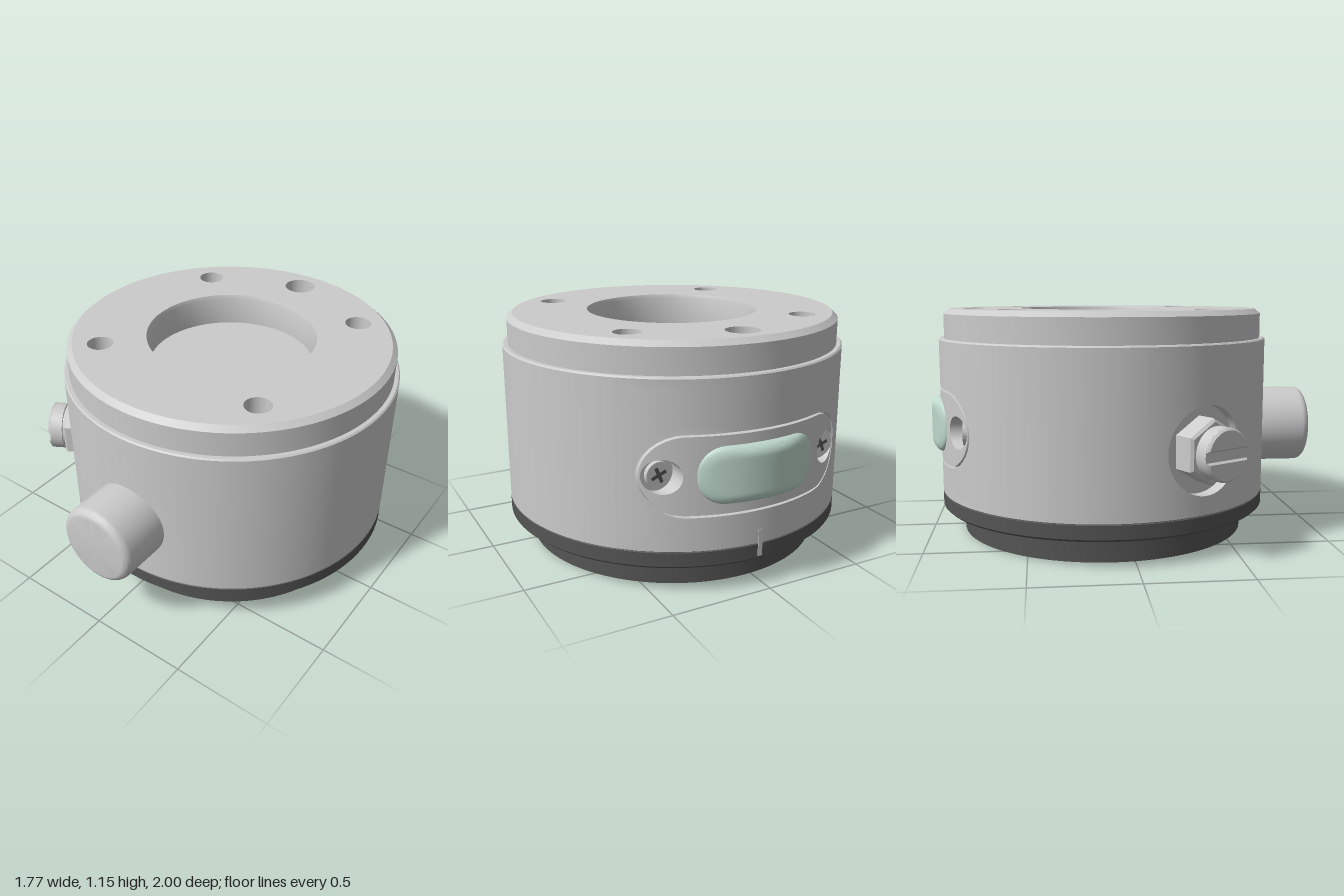
import * as THREE from 'three';
import { toCreasedNormals } from 'three/addons/utils/BufferGeometryUtils.js';

const R = 0.855, Y0 = 0.215, Y1 = 1.0, TOP = 1.155;
const grey = new THREE.MeshStandardMaterial({ color: 0xcccccc });
const dark = new THREE.MeshStandardMaterial({ color: 0x555555 });
const green = new THREE.MeshStandardMaterial({ color: 0xbfd9cc });

function add(parent, name, geo, mat = grey) {
  const mesh = new THREE.Mesh(toCreasedNormals(geo, 0.5), mat);
  mesh.name = name;
  parent.add(mesh);
}

const lathe = (pts, n = 96) => new THREE.LatheGeometry(pts.map(p => new THREE.Vector2(...p)), n);

// Cylinder lying along z from z0 to z1
function rod(r, z0, z1, sides = 48, rTip = r) {
  return new THREE.CylinderGeometry(rTip, r, z1 - z0, sides).rotateX(Math.PI / 2).translate(0, 0, (z0 + z1) / 2);
}

// Outlines as inside tests, and depths as functions of x
const rect = (x0, x1, y0, y1) => (x, y) => x >= x0 && x <= x1 && y >= y0 && y <= y1;
const rounded = (w, h, r, cx, cy) => (x, y) => {
  const dx = Math.max(Math.abs(x - cx) - w + r, 0), dy = Math.max(Math.abs(y - cy) - h + r, 0);
  return dx * dx + dy * dy <= r * r;
};
const disc = (r, cx, cy) => rounded(r, r, r, cx, cy);
const curved = (lift, droop = 0) => x => Math.sqrt(R * R - x * x) + lift - droop * x * x;
const flat = z => () => z;

function reach(inside, cx, cy, a) {
  if (!inside) return 0;
  let lo = 0, hi = 1.5;
  for (let i = 0; i < 32; i++) {
    const m = (lo + hi) / 2;
    if (inside(cx + m * Math.cos(a), cy + m * Math.sin(a))) lo = m; else hi = m;
  }
  return lo;
}

// Surface through nested loops [outline, depth, steps], from outside inwards, facing +z
function patch(cx, cy, loops, corners = []) {
  const angles = Array.from({ length: 96 }, (_, i) => -Math.PI + i * Math.PI / 48);
  for (const [x, y] of corners) angles.push(Math.atan2(y - cy, x - cx));
  angles.sort((a, b) => a - b);
  const rows = [];
  loops.forEach(([shape, depth, steps = 1], k) => {
    const from = k ? loops[k - 1] : loops[0];
    const radii = angles.map(a => [reach(from[0], cx, cy, a), reach(shape, cx, cy, a)]);
    for (let s = 1; s <= steps; s++) {
      const t = s / steps;
      rows.push(angles.map((a, i) => {
        const r = radii[i][0] * (1 - t) + radii[i][1] * t;
        const x = cx + r * Math.cos(a), y = cy + r * Math.sin(a);
        return [x, y, from[1](x) * (1 - t) + depth(x) * t];
      }));
    }
  });
  const pos = [];
  for (let j = 0; j + 1 < rows.length; j++) {
    for (let i = 0; i < angles.length; i++) {
      const n = (i + 1) % angles.length, o = rows[j], q = rows[j + 1];
      pos.push(...o[i], ...o[n], ...q[i], ...o[n], ...q[n], ...q[i]);
    }
  }
  const g = new THREE.BufferGeometry();
  g.setAttribute('position', new THREE.Float32BufferAttribute(pos, 3));
  return g;
}

const boxCorners = (x0, x1, y0, y1) => [[x0, y0], [x1, y0], [x1, y1], [x0, y1]];

export function createModel() {
  const model = new THREE.Group();
  const unit = new THREE.Group();
  unit.name = 'housingUnit';
  unit.position.set(0.029, 0, -0.095);
  model.add(unit);

  // Dark base plate, and band with a fine joint under the wall
  add(unit, 'basePlate', lathe([[0, 0], [0.743, 0], [0.743, 0.13]]), dark);
  add(unit, 'baseBand', lathe([
    [0.74, 0.13], [0.842, 0.13], [R, 0.142], [R, 0.208], [0.849, 0.211], [0.849, Y0], [R, Y0],
  ]), dark);

  // Plain wall between the two recessed sectors
  const backHalf = Math.asin(0.6 / R), sideHalf = Math.asin(0.3 / R), sideAngle = Math.PI * 5 / 3;
  const arcs = [[Math.PI + backHalf, sideAngle - sideHalf], [sideAngle + sideHalf, Math.PI * 3 - backHalf]];
  for (const [a, b] of arcs) {
    const g = new THREE.CylinderGeometry(R, R, Y1 - Y0, 72, 1, true, a, b - a);
    add(unit, 'bodyWall', g.translate(0, (Y0 + Y1) / 2, 0));
  }

  // Top ring with chamfer
  add(unit, 'topRing', lathe([[R, Y1], [0.848, 1.007], [0.828, 1.007], [0.828, 1.13], [0.8, TOP]]));

  // Top face with bolt holes and central bore
  const face = new THREE.Shape().absarc(0, 0, 0.8, 0, Math.PI * 2);
  const holes = [[0, 0, 0.43, 0.165], [0, -0.665, 0.08, 0.15]];
  for (const x of [-0.467, 0.467]) for (const z of [-0.467, 0.467]) holes.push([x, z, 0.065, 0.15]);
  for (const [x, z, r, depth] of holes) {
    face.holes.push(new THREE.Path().absarc(x, -z, r, 0, Math.PI * 2));
    const bore = r > 0.4, inner = bore ? r - 0.008 : r;
    const pocket = lathe([[r, TOP], [inner, TOP - 0.02], [inner, TOP - depth], [0, TOP - depth]], 96);
    add(unit, bore ? 'centralBore' : 'boltHole', pocket.translate(x, 0, z));
  }
  add(unit, 'topFace', new THREE.ShapeGeometry(face, 96).rotateX(-Math.PI / 2).translate(0, TOP, 0));

  // Front knob with rounded rim
  const rim = [];
  for (let i = 0; i <= 8; i++) {
    const a = i / 8 * Math.PI / 2;
    rim.push([0.16 + 0.04 * Math.cos(a), 1.055 + 0.04 * Math.sin(a)]);
  }
  add(unit, 'frontKnob', lathe([[0.2, 0.78], ...rim, [0, 1.095]], 64).rotateX(Math.PI / 2).translate(0, 0.52, 0));

  // Back sector: wall, groove around the panel, panel with two screws
  const back = new THREE.Group();
  back.name = 'backPanel';
  back.rotation.y = Math.PI;
  unit.add(back);
  const cy = 0.567, skin = curved(0), sunk = curved(-0.03);
  const outer = rounded(0.532, 0.192, 0.192, 0, cy), inner = rounded(0.521, 0.181, 0.181, 0, cy);
  add(back, 'backWall', patch(0, cy, [
    [rect(-0.6, 0.6, Y0, Y1), skin], [outer, skin, 6], [outer, sunk], [inner, sunk], [inner, skin],
  ], boxCorners(-0.6, 0.6, Y0, Y1)));
  const p0 = cy - 0.181, p1 = cy + 0.181;
  add(back, 'panelMiddle', patch(0, cy, [[rect(-0.3, 0.3, p0, p1), skin], [null, skin, 10]], boxCorners(-0.3, 0.3, p0, p1)));
  for (const s of [-1, 1]) {
    const x = s * 0.435, hole = disc(0.08, x, cy);
    const end = (px, py) => px * s >= 0.3 && inner(px, py);
    add(back, 'panelEnd', patch(x, cy, [
      [end, skin], [hole, skin, 6], [hole, flat(0.68)], [null, flat(0.68)],
    ], [[s * 0.3, p0], [s * 0.3, p1]]));
    add(back, 'panelScrew', rod(0.06, 0.68, 0.705).translate(x, cy, 0));
    for (const turn of [0.4, 0.4 + Math.PI / 2]) {
      const bar = new THREE.BoxGeometry(0.075, 0.016, 0.008).rotateZ(turn);
      add(back, 'screwCross', bar.translate(x, cy, 0.703), dark);
    }
  }

  // Soft window pad, flattening towards its ends
  const pad = inset => rounded(0.298 - inset, 0.133 - inset, 0.12 - inset, 0, cy);
  const padLoops = [[pad(0), curved(-0.02)], [pad(0), curved(0.002)]];
  for (let i = 1; i <= 7; i++) {
    const a = i / 7 * Math.PI / 2, s = Math.sin(a);
    padLoops.push([pad(0.05 * (1 - Math.cos(a))), curved(0.002 + 0.048 * s, 0.42 * s)]);
  }
  padLoops.push([null, curved(0.05, 0.42), 10]);
  add(back, 'windowPad', patch(0, cy, padLoops), green);

  // Index mark across the band joint
  add(back, 'indexMark', new THREE.BoxGeometry(0.022, 0.13, 0.02).translate(0, 0.215, R - 0.007));

  // Side sector: round recess with a screwed connector
  const side = new THREE.Group();
  side.name = 'sideConnector';
  side.rotation.y = sideAngle;
  unit.add(side);
  const sy = 0.517, spot = disc(0.212, 0, sy);
  add(side, 'sideWall', patch(0, sy, [
    [rect(-0.3, 0.3, Y0, Y1), skin], [spot, skin, 5], [spot, flat(0.79)], [null, flat(0.79)],
  ], boxCorners(-0.3, 0.3, Y0, Y1)));
  add(side, 'hexNut', rod(0.157, 0.79, 0.89, 6).translate(0, sy, 0));
  add(side, 'nutChamfer', rod(0.157, 0.89, 0.902, 6, 0.142).translate(0, sy, 0));
  add(side, 'neck', rod(0.112, 0.9, 0.92).translate(0, sy, 0));
  add(side, 'connectorHead', rod(0.125, 0.915, 0.98).translate(0, sy, 0));

  // Two half discs leave a shallow screwdriver slot in the head
  const a0 = Math.asin(0.032 / 0.115);
  const half = new THREE.Shape().absarc(0, 0, 0.115, a0, Math.PI - a0);
  half.closePath();
  for (const turn of [0, Math.PI]) {
    const g = new THREE.ExtrudeGeometry(half, {
      depth: 0.004, bevelThickness: 0.01, bevelSize: 0.01, bevelSegments: 1, curveSegments: 32,
    });
    add(side, 'slottedTip', g.rotateZ(turn).translate(0, sy, 0.981));
  }
  return model;
}
